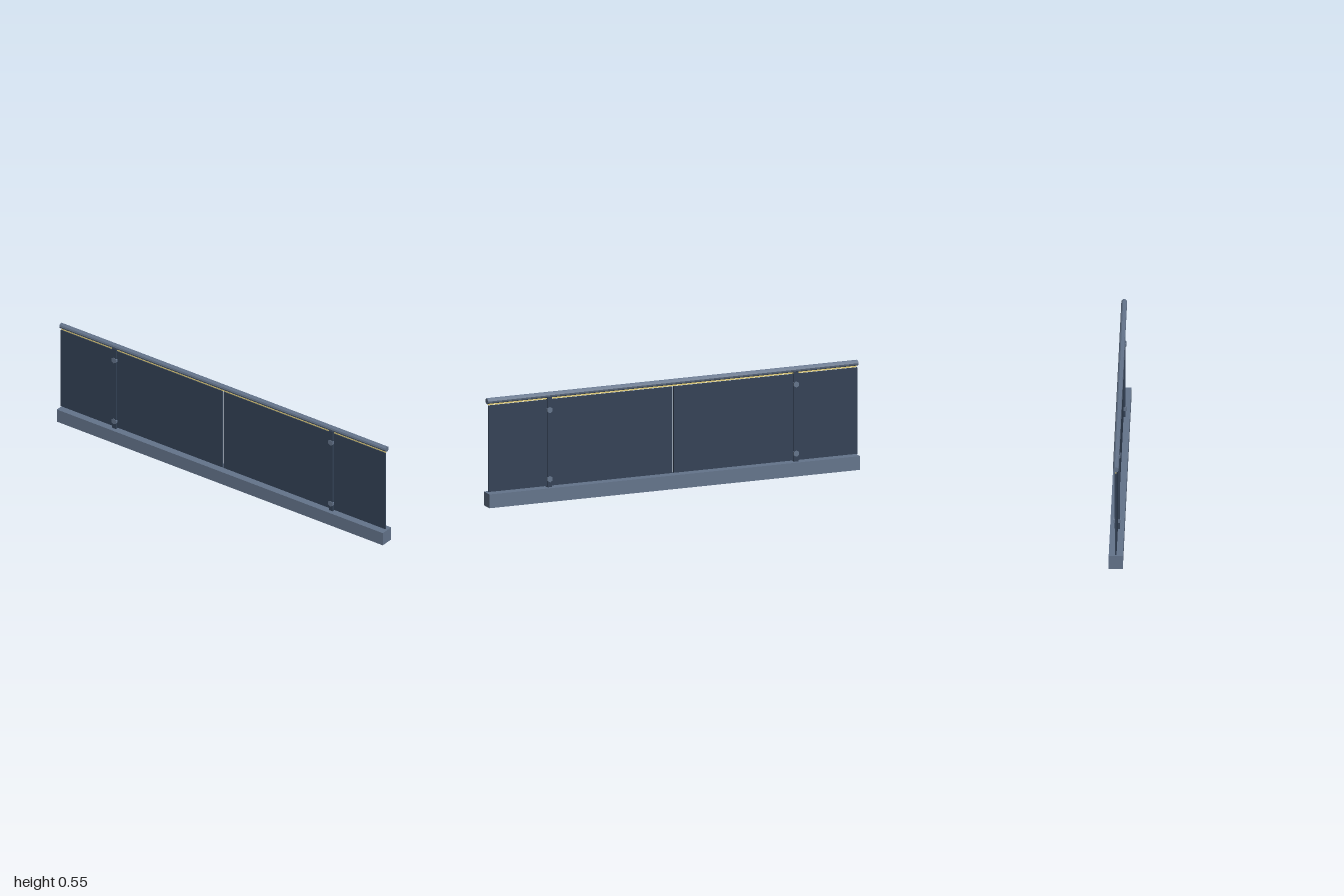
import * as THREE from 'three';

export function createModel() {
  const group = new THREE.Group();
  const mat = (name, color) => {
    const m = new THREE.MeshStandardMaterial({ color });
    m.name = name;
    return m;
  };
  const steel = mat('brushed steel', 0x64748b);
  const dark = mat('dark panel', 0x334155);
  const glow = mat('warm light', 0xfde68a);

  const add = (name, geometry, material, x, y, z = 0) => {
    const mesh = new THREE.Mesh(geometry, material);
    mesh.name = name;
    mesh.position.set(x, y, z);
    group.add(mesh);
    return mesh;
  };

  // Base channel along the floor
  add('baseChannel', new THREE.BoxGeometry(2, 0.07, 0.07), steel, 0, 0.035);

  // Two thin infill panels, each followed by a narrow gap
  const panel = new THREE.BoxGeometry(0.992, 0.438, 0.008);
  for (const start of [-1, 0]) add('panel', panel, dark, start + 0.496, 0.294);

  // Posts with faceted clamps running through them
  const post = new THREE.BoxGeometry(0.023, 0.457, 0.027);
  const clamp = new THREE.CylinderGeometry(0.0157, 0.0157, 0.034, 6).toNonIndexed();
  clamp.rotateX(Math.PI / 2);
  clamp.computeVertexNormals();
  for (const x of [-0.665, 0.665]) {
    add('post', post, dark, x, 0.2985);
    for (const y of [0.111, 0.462]) add('clamp', clamp, steel, x, y);
  }

  // Round handrail with a light strip beneath it
  const rail = new THREE.CylinderGeometry(0.0145, 0.0145, 2, 10).toNonIndexed();
  rail.rotateZ(Math.PI / 2);
  rail.computeVertexNormals();
  add('handrail', rail, steel, 0, 0.537);
  add('lightStrip', new THREE.BoxGeometry(1.99, 0.006, 0.008), glow, 0, 0.519);

  return group;
}
